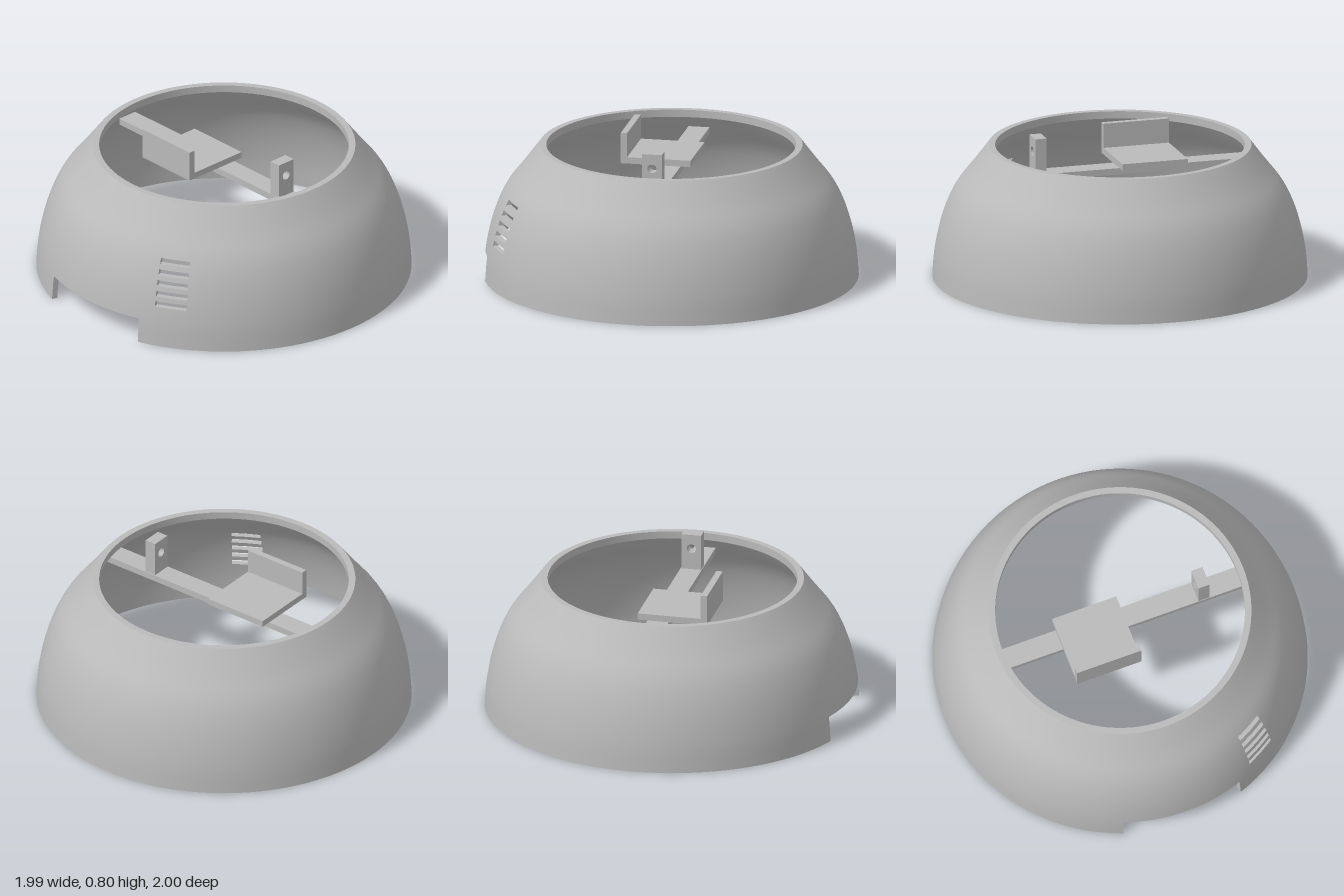
import * as THREE from 'three';
import { toCreasedNormals } from 'three/addons/utils/BufferGeometryUtils.js';

const TOP = 0.72, WALL = 0.03, LIP_Y = 0.68, LIP_R = 0.665;

// Outer dome profile, sampled as radius for a given height
const profile = new THREE.SplineCurve([
  [1.0, 0], [0.988, 0.14], [0.96, 0.28], [0.92, 0.4], [0.868, 0.5], [0.79, 0.6], [0.7, TOP],
].map(([r, y]) => new THREE.Vector2(r, y))).getPoints(120);

function radiusAt(y) {
  for (let i = 1; i < profile.length; i++) {
    const a = profile[i - 1], b = profile[i];
    if (y <= b.y + 1e-6) return a.x + (b.x - a.x) * (y - a.y) / (b.y - a.y);
  }
  return profile[profile.length - 1].x;
}

// Openings through the wall: angle range in degrees from -x toward +z, and height range
const openings = [{ a0: -19.5, a1: 19.5, y0: -0.01, y1: 0.135 }];
for (let i = 0; i < 5; i++) {
  const y = 0.235 + i * 0.055;
  openings.push({ a0: 24.6, a1: 35, y0: y - 0.015, y1: y + 0.015 });
}

// Regular grid lines merged with the exact edges of the openings
function gridLines(from, to, count, breaks) {
  const step = (to - from) / count;
  const lines = [...new Set(breaks)].filter((b) => b > from && b < to);
  for (let i = 0; i <= count; i++) {
    const v = from + i * step;
    if (i === 0 || i === count || lines.every((l) => Math.abs(l - v) > step * 0.3)) lines.push(v);
  }
  return lines.sort((a, b) => a - b);
}

// Thick dome wall built cell by cell, leaving the openings out
function shellGeometry() {
  const angles = gridLines(-180, 180, 96, openings.flatMap((o) => [o.a0, o.a1]));
  const ys = gridLines(0, TOP, 24, openings.flatMap((o) => [o.y0, o.y1]));
  const nA = angles.length - 1, nY = ys.length - 1;
  const solid = (i, j) => {
    if (j < 0) return false;
    if (j >= nY) return true; // closed by the rim
    const k = (i + nA) % nA;
    const a = (angles[k] + angles[k + 1]) / 2, y = (ys[j] + ys[j + 1]) / 2;
    return !openings.some((o) => a > o.a0 && a < o.a1 && y > o.y0 && y < o.y1);
  };
  const point = (i, j, inset) => {
    const t = THREE.MathUtils.degToRad(angles[i === nA ? 0 : i]);
    const r = radiusAt(ys[j]) - inset;
    return [-r * Math.cos(t), ys[j], r * Math.sin(t)];
  };
  const positions = [];
  const quad = (a, b, c, d) => positions.push(...a, ...b, ...c, ...a, ...c, ...d);
  for (let i = 0; i < nA; i++) {
    for (let j = 0; j < nY; j++) {
      if (!solid(i, j)) continue;
      const [o00, o10, o11, o01] = [[0, 0], [1, 0], [1, 1], [0, 1]].map(([u, v]) => point(i + u, j + v, 0));
      const [i00, i10, i11, i01] = [[0, 0], [1, 0], [1, 1], [0, 1]].map(([u, v]) => point(i + u, j + v, WALL));
      quad(o00, o10, o11, o01);
      quad(i10, i00, i01, i11);
      if (!solid(i + 1, j)) quad(o10, i10, i11, o11);
      if (!solid(i - 1, j)) quad(i00, o00, o01, i01);
      if (!solid(i, j + 1)) quad(o01, o11, i11, i01);
      if (!solid(i, j - 1)) quad(i00, i10, o10, o00);
    }
  }
  const geometry = new THREE.BufferGeometry();
  geometry.setAttribute('position', new THREE.Float32BufferAttribute(positions, 3));
  return toCreasedNormals(geometry, 0.6);
}

export function createModel() {
  const group = new THREE.Group();
  const grey = new THREE.MeshStandardMaterial({ color: 0xbababa });
  grey.name = 'plain grey';

  const add = (name, geometry) => {
    const mesh = new THREE.Mesh(geometry, grey);
    mesh.name = name;
    group.add(mesh);
    return mesh;
  };
  // Box given by its minimum and maximum corners
  const addBox = (name, [x0, y0, z0], [x1, y1, z1]) => {
    add(name, new THREE.BoxGeometry(x1 - x0, y1 - y0, z1 - z0))
      .position.set((x0 + x1) / 2, (y0 + y1) / 2, (z0 + z1) / 2);
  };

  add('domeShell', shellGeometry());

  // Inward lip around the top opening
  const lip = [[0.7, TOP], [LIP_R, TOP], [LIP_R, LIP_Y], [radiusAt(LIP_Y) - WALL + 0.005, LIP_Y]];
  add('topRim', toCreasedNormals(
    new THREE.LatheGeometry(lip.map(([r, y]) => new THREE.Vector2(r, y)), 96), 0.6));

  // Crossbar spanning the dome, carrying an angled bracket
  addBox('crossbar', [-0.06, 0.57, -0.75], [0.055, 0.605, 0.75]);
  addBox('bracketPlate', [-0.235, 0.605, -0.345], [0.11, 0.64, 0.02]);
  addBox('bracketUpright', [-0.27, 0.605, -0.345], [-0.235, 0.773, 0.02]);

  // Post with a round hole
  const post = new THREE.Shape();
  post.moveTo(-0.057, 0.605).lineTo(0.05, 0.605).lineTo(0.05, 0.8).lineTo(-0.057, 0.8).closePath();
  const hole = new THREE.Path();
  hole.absarc(-0.004, 0.722, 0.025, 0, Math.PI * 2, true);
  post.holes.push(hole);
  add('drilledPost', toCreasedNormals(
    new THREE.ExtrudeGeometry(post, { depth: 0.064, bevelEnabled: false, curveSegments: 16 }), 0.6))
    .position.z = 0.424;

  return group;
}
